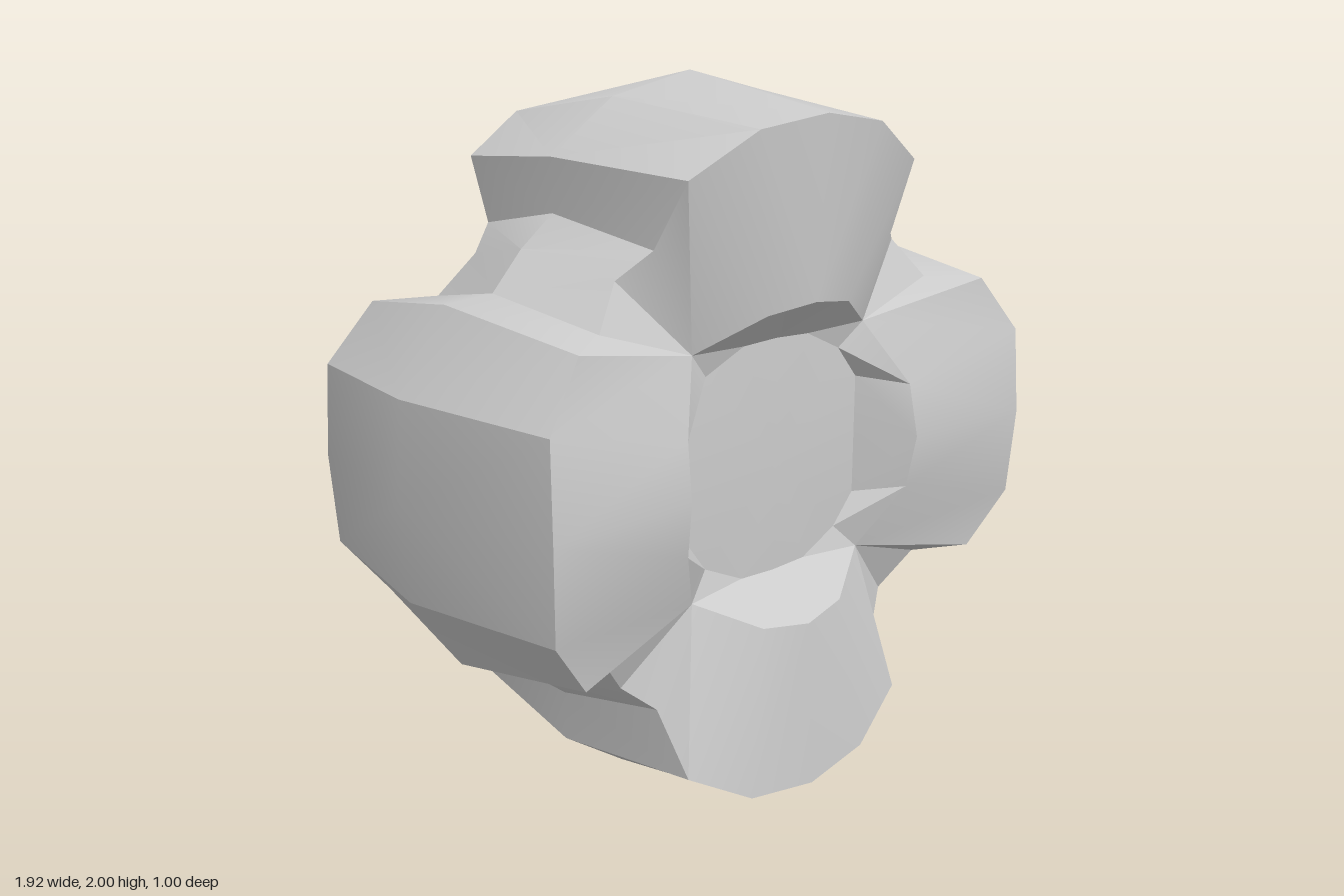
import * as THREE from 'three';
import { toCreasedNormals } from 'three/addons/utils/BufferGeometryUtils.js';

// One quadrant of the front half as spokes, from the top (+y) round to the side (+x).
// Each spoke runs: disc rim, recess mouth, front edge, outer surface at z = 0.
const cornerRim = [0.25, 0.26, 0.33];
const cornerMouth = [0.32, 0.33, 0.355];
const groove = (front, mid) => [cornerRim, cornerMouth, front, mid];
const SPOKES = [
  [[0, 0.325, 0.335], [0, 0.44, 0.475], [0, 0.91, 0.5], [0, 1, 0]],
  [[0.12, 0.32, 0.335], [0.15, 0.42, 0.45], [0.22, 0.88, 0.485], [0.27, 0.94, 0]],
  [cornerRim, cornerMouth, [0.41, 0.77, 0.44], [0.47, 0.8, 0]],
  groove([0.43, 0.6, 0.34], [0.47, 0.66, 0]),
  groove([0.51, 0.53, 0.29], [0.57, 0.58, 0]),
  groove([0.6, 0.42, 0.34], [0.66, 0.48, 0]),
  [cornerRim, cornerMouth, [0.74, 0.41, 0.44], [0.8, 0.47, 0]],
  [[0.32, 0.17, 0.335], [0.42, 0.15, 0.45], [0.86, 0.25, 0.485], [0.94, 0.26, 0]],
  [[0.32, 0, 0.335], [0.43, 0, 0.475], [0.87, 0, 0.5], [0.96, 0, 0]],
].map((spoke) => [[0, 0, 0.35], ...spoke]);

// Skin chosen spoke gaps and bands, mirrored by each set of signs.
function skin(gaps, bands, mirrors) {
  const positions = [];
  for (const [sx, sy, sz] of mirrors) {
    const flip = sx * sy * sz < 0;
    const triangle = (a, b, c) => {
      const same = (p, q) => p.every((v, i) => v === q[i]);
      if (same(a, b) || same(b, c) || same(c, a)) return;
      for (const p of flip ? [a, c, b] : [a, b, c]) {
        positions.push(p[0] * sx, 1 + p[1] * sy, p[2] * sz);
      }
    };
    for (const g of gaps) {
      for (const b of bands) {
        const s = SPOKES[g], t = SPOKES[g + 1];
        triangle(s[b], t[b], t[b + 1]);
        triangle(s[b], t[b + 1], s[b + 1]);
      }
    }
  }
  const geometry = new THREE.BufferGeometry();
  geometry.setAttribute('position', new THREE.Float32BufferAttribute(positions, 3));
  return toCreasedNormals(geometry, THREE.MathUtils.degToRad(26));
}

export function createModel() {
  const group = new THREE.Group();
  const material = new THREE.MeshStandardMaterial({ color: 0xcccccc });
  const add = (name, gaps, bands, mirrors) => {
    const mesh = new THREE.Mesh(skin(gaps, bands, mirrors), material);
    mesh.name = name;
    group.add(mesh);
  };
  const signs = [1, -1];
  const all = signs.flatMap((x) => signs.flatMap((y) => signs.map((z) => [x, y, z])));
  const everyGap = [0, 1, 2, 3, 4, 5, 6, 7];

  // Recessed disc and its sloping wall on the front and back
  for (const z of signs) {
    const face = z > 0 ? 'front' : 'back';
    const half = all.filter((m) => m[2] === z);
    add(face + 'Disc', everyGap, [0], half);
    add(face + 'RecessWall', everyGap, [1], half);
  }

  // Four rounded lobes
  for (const s of signs) {
    add(s > 0 ? 'topLobe' : 'bottomLobe', [0, 1], [2, 3], all.filter((m) => m[1] === s));
    add(s > 0 ? 'leftLobe' : 'rightLobe', [6, 7], [2, 3], all.filter((m) => m[0] === s));
  }

  // Grooves between neighbouring lobes, with the lobe flanks
  for (const x of signs) {
    for (const y of signs) {
      const name = (y > 0 ? 'upper' : 'lower') + (x > 0 ? 'Left' : 'Right') + 'Groove';
      add(name, [2, 3, 4, 5], [2, 3], all.filter((m) => m[0] === x && m[1] === y));
    }
  }
  return group;
}
